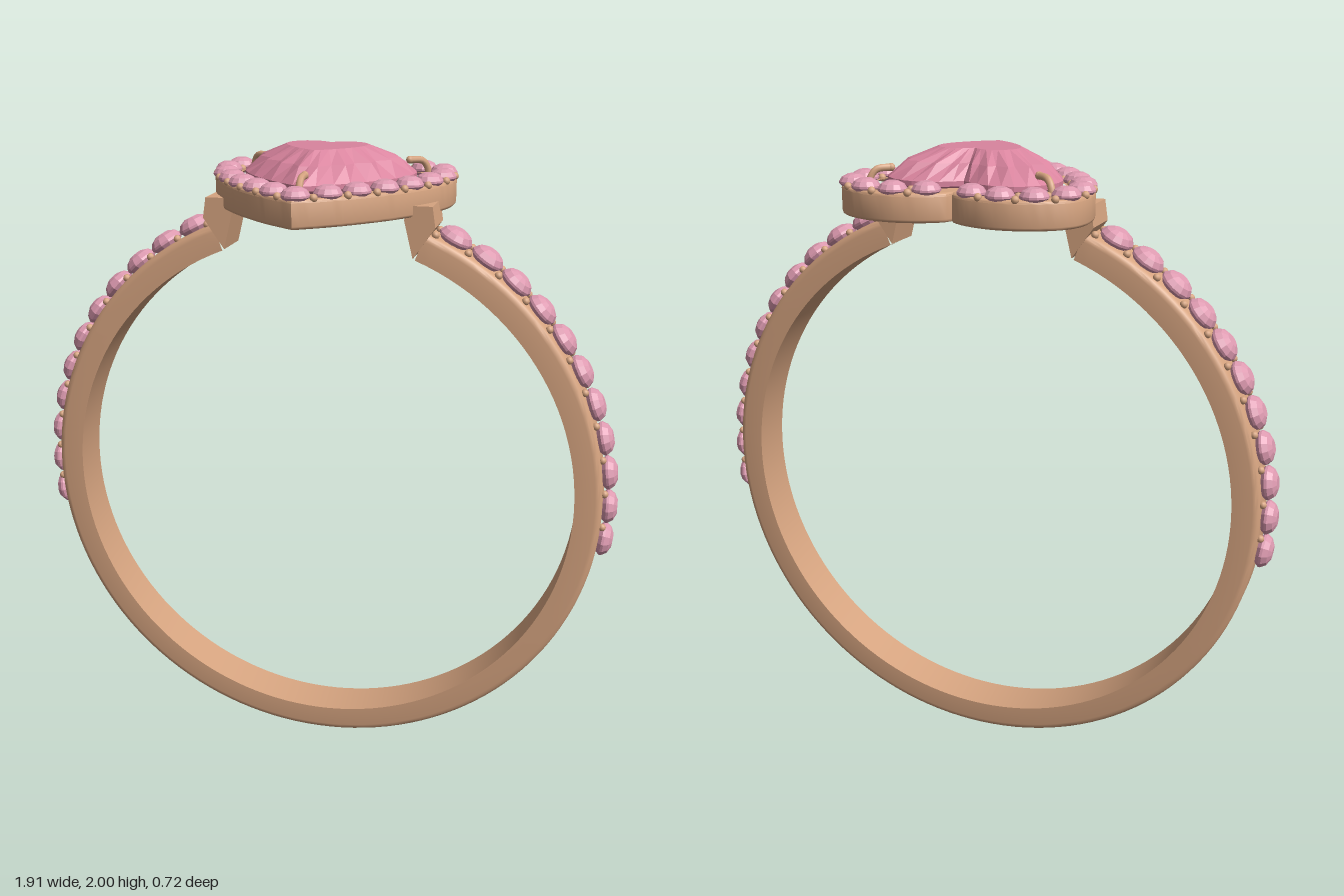
import * as THREE from 'three';
import { toCreasedNormals } from 'three/addons/utils/BufferGeometryUtils.js';

const gold = new THREE.MeshStandardMaterial({ color: 0xd6a480 });
const pink = new THREE.MeshStandardMaterial({ color: 0xdd9ab0, flatShading: true });
const rose = new THREE.MeshStandardMaterial({ color: 0xd9849e, flatShading: true });

const CY = 0.915, R_OUT = 0.91, R_IN = 0.825, HALF_W = 0.07;
const rad = THREE.MathUtils.degToRad;

function add(parent, name, geometry, material, pos = [0, 0, 0]) {
  const mesh = new THREE.Mesh(geometry, material);
  mesh.name = name;
  mesh.position.set(...pos);
  parent.add(mesh);
  return mesh;
}

// Right half of a heart as a curve in (x, z), from the back notch to the front tip
const halfCurve = pts => new THREE.SplineCurve(pts.map(p => new THREE.Vector2(...p)));
const mirrorLoop = half => {
  const left = half.filter(p => p.x > 1e-4).reverse().map(p => new THREE.Vector2(-p.x, p.y));
  return [...half, ...left];
};

const haloHalf = [[0.07, -0.3], [0.165, -0.325], [0.26, -0.305], [0.333, -0.243], [0.345, -0.145],
  [0.32, -0.05], [0.275, 0.035], [0.217, 0.115], [0.15, 0.188], [0.08, 0.253], [0, 0.312]];
const haloCurve = halfCurve([[0, -0.24], ...haloHalf]);
const gemCurve = halfCurve([[0, -0.19], [0.06, -0.235], [0.14, -0.25], [0.21, -0.225], [0.26, -0.16],
  [0.267, -0.08], [0.23, 0.015], [0.16, 0.105], [0.08, 0.18], [0, 0.238]]);

// Point on the halo curve, moved outward by d
function haloPoint(t, d) {
  const p = haloCurve.getPoint(t), n = haloCurve.getTangent(t);
  return new THREE.Vector2(p.x + n.y * d, p.y - n.x * d);
}

// Heart outline parallel to the halo curve, as extrusion points (x, -z)
function heartOutline(d, backZ, frontZ) {
  const half = [new THREE.Vector2(0, backZ)];
  for (let i = 0; i <= 60; i++) {
    const p = haloPoint(i / 60, d);
    if (p.x > 0.006 && p.y > -1 && p.y < frontZ) half.push(p);
  }
  half.push(new THREE.Vector2(0, frontZ));
  return mirrorLoop(half).map(p => new THREE.Vector2(p.x, -p.y));
}

// Open heart frame carrying the halo stones
function galleryGeometry() {
  const shape = new THREE.Shape(heartOutline(0.036, -0.268, 0.355));
  shape.holes.push(new THREE.Path(heartOutline(-0.036, -0.2, 0.268)));
  const b = 0.01;
  const g = new THREE.ExtrudeGeometry(shape, {
    depth: 0.085 - 2 * b, bevelEnabled: true, bevelThickness: b, bevelSize: b, bevelOffset: -b, bevelSegments: 3,
  });
  g.rotateX(-Math.PI / 2).translate(0, 1.81 + b, 0);
  return toCreasedNormals(g, 0.6);
}

// Faceted heart gem lofted from scaled heart rings: [scale, y, alternating facet shift]
function gemGeometry() {
  const N = 18, half = [];
  for (let i = 0; i <= N; i++) half.push(gemCurve.getPoint(i / N));
  const loop = mirrorLoop(half), n = loop.length, cz = -0.03;
  const rings = [[0, 1.82, 0], [0.5, 1.855, 0.05], [1, 1.9, 0], [1, 1.915, 0],
    [0.76, 1.962, 0.05], [0.47, 2, 0], [0, 2, 0]];
  const pos = [], index = [];
  rings.forEach(([s, y, shift]) => loop.forEach((p, i) => {
    const k = s + (i % 2 ? shift : -shift);
    pos.push(p.x * k, y, cz + (p.y - cz) * k);
  }));
  for (let r = 0; r < rings.length - 1; r++) {
    for (let i = 0; i < n; i++) {
      const a = r * n + i, a2 = r * n + (i + 1) % n, b = a + n, b2 = a2 + n;
      index.push(a, b, a2, b, b2, a2);
    }
  }
  const g = new THREE.BufferGeometry();
  g.setAttribute('position', new THREE.Float32BufferAttribute(pos, 3));
  g.setIndex(index);
  g.computeVertexNormals();
  return g;
}

// Band swept round from one shoulder to the other, outer edges rounded
function bandGeometry() {
  const c = 0.022, profile = [[R_IN, -HALF_W]];
  for (const s of [-1, 1]) {
    for (let i = 0; i <= 4; i++) {
      const a = (s < 0 ? i - 4 : i) * Math.PI / 8;
      profile.push([R_OUT - c + c * Math.cos(a), s * (HALF_W - c) + c * Math.sin(a)]);
    }
  }
  profile.push([R_IN, HALF_W], [R_IN, -HALF_W]);
  const end = rad(158.5);
  const g = new THREE.LatheGeometry(profile.map(p => new THREE.Vector2(...p)), 120, -end, 2 * end);
  g.rotateX(Math.PI / 2).translate(0, CY, 0);
  return toCreasedNormals(g, 0.6);
}

// Wedge joining a band end to the heart frame
function shoulderGeometry(side) {
  const pts = [[0.296, 1.687], [0.362, 1.782], [0.352, 1.845], [0.27, 1.845], [0.268, 1.8]];
  const shape = new THREE.Shape(pts.map(([x, y]) => new THREE.Vector2(x * side, y)));
  const w = HALF_W + 0.002;
  return new THREE.ExtrudeGeometry(shape, { depth: 2 * w, bevelEnabled: false }).translate(0, 0, -w);
}

// Small round brilliant, girdle at y = 0
const stoneGeometry = r => new THREE.LatheGeometry(
  [[0, -0.65], [0.6, -0.5], [1, -0.08], [1, 0.06], [0.8, 0.36], [0.42, 0.55], [0, 0.55]]
    .map(([x, y]) => new THREE.Vector2(x * r, y * r)), 12);

export function createModel() {
  const ring = new THREE.Group();
  ring.name = 'ring';
  const bead = new THREE.SphereGeometry(0.012, 10, 8);

  add(ring, 'band', bandGeometry(), gold);
  for (const s of [-1, 1]) add(ring, 'shoulder', shoulderGeometry(s), gold);

  // Stones and holding beads along both sides of the band
  const bandStone = stoneGeometry(0.054);
  for (const s of [-1, 1]) {
    const row = new THREE.Group();
    row.name = s > 0 ? 'leftBandStones' : 'rightBandStones';
    ring.add(row);
    for (let i = 0; i <= 10; i++) {
      const a = rad(-6.6 + i * 7);
      const at = (r, t, z) => [s * r * Math.cos(t), CY + r * Math.sin(t), z];
      add(row, 'bandStone', bandStone, pink, at(0.925, a, 0)).rotation.z = s * (a - Math.PI / 2);
      for (const z of [-0.045, 0.045]) add(row, 'bandBead', bead, gold, at(0.915, a + rad(3.5), z));
    }
  }

  // Heart setting: frame, halo stones and beads
  const setting = new THREE.Group();
  setting.name = 'heartSetting';
  ring.add(setting);
  add(setting, 'heartFrame', galleryGeometry(), gold);
  const haloStone = stoneGeometry(0.043);
  for (const s of [-1, 1]) {
    haloHalf.forEach(([x, z], i) => {
      if (x > 0 || s > 0) add(setting, 'haloStone', haloStone, pink, [s * x, 1.902, z]);
      if (x === 0) return;
      for (const d of [-0.03, 0.03]) {
        const p = haloPoint((i + 1.5) / haloHalf.length, d);
        add(setting, 'haloBead', bead, gold, [s * p.x, 1.897, p.y]);
      }
    });
  }

  // Centre gem and the three prongs gripping it
  add(setting, 'heartGem', gemGeometry(), rose);
  for (const [x, z, dx, dz] of [[0.285, -0.23, -0.8, 0.6], [-0.285, -0.23, 0.8, 0.6], [0, 0.272, 0, -1]]) {
    const path = new THREE.CatmullRomCurve3([[0, 1.86], [0, 1.91], [0.02, 1.938], [0.065, 1.943]]
      .map(([d, y]) => new THREE.Vector3(x + dx * d, y, z + dz * d)));
    add(setting, 'prong', new THREE.TubeGeometry(path, 12, 0.011, 8), gold);
    add(setting, 'prongTip', bead, gold, path.getPoint(1).toArray());
  }
  return ring;
}
